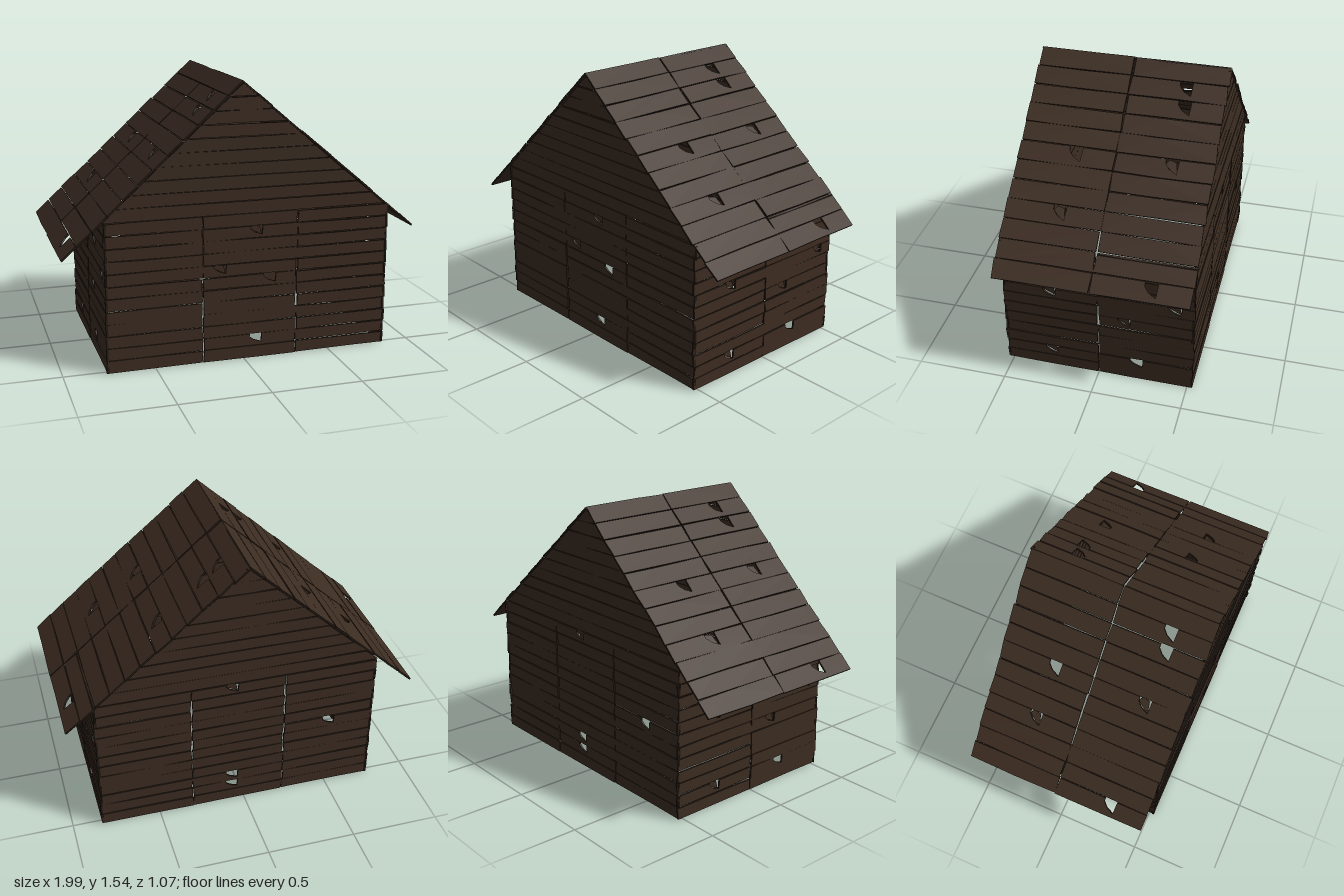
import * as THREE from 'three';

const wood = new THREE.MeshStandardMaterial({ color: 0x3d2d22 });
wood.name = 'weathered wood';
const edgeWood = new THREE.MeshStandardMaterial({ color: 0x251b14 });
edgeWood.name = 'dark plank edge';

const THICK = 0.01;
let seed = 7;
const rand = () => {
  seed = (seed * 16807) % 2147483647;
  return seed / 2147483647;
};
const jitter = (a) => (rand() * 2 - 1) * a;

function slab(name, points, depth) {
  const shape = new THREE.Shape(points.map(([x, y]) => new THREE.Vector2(x, y)));
  const geometry = new THREE.ExtrudeGeometry(shape, { depth, bevelEnabled: false });
  geometry.translate(0, 0, -depth);
  const mesh = new THREE.Mesh(geometry, [wood, edgeWood]);
  mesh.name = name;
  return mesh;
}

// Wall of horizontal planks in its own xy plane, outer face at z = 0.
// span(y) gives the left and right ends; chips are [x, y, open].
function plankPanel(name, { height, count, gap, span, chips = [], ragged = 0.005 }) {
  const panel = new THREE.Group();
  panel.name = name;
  const step = height / count;
  for (let i = 0; i < count; i++) {
    const y0 = i * step + gap * 0.5;
    const y1 = (i + 1) * step - gap * 0.5;
    const [a0, b0] = span(y0);
    const [a1, b1] = span(y1);
    const wave = () => jitter(0.0025);
    const mid = (a0 + b0) / 2;
    const top = [];
    for (const [cx, cy, open] of chips) {
      if (Math.floor(cy / step) !== i) continue;
      // Broken notch in the upper edge of the plank
      const notch = [
        [cx + 0.034, y1], [cx + 0.03, y1 - step * 0.72],
        [cx - 0.012, y1 - step * 0.5], [cx - 0.036, y1 - step * 0.22], [cx - 0.036, y1],
      ];
      top.push(...notch);
      if (!open) {
        // Splinter pushed inwards behind the notch
        const shard = slab('splinter', [
          [cx - 0.04, y1 - step * 0.25], [cx + 0.032, y1 - step * 0.78],
          [cx + 0.02, y1 - step * 0.1], [cx - 0.02, y1],
        ], 0.004);
        shard.position.z = -THICK - 0.004;
        panel.add(shard);
      }
    }
    if (!top.length) top.push([mid + jitter(0.1), y1 + wave()]);
    const plank = slab('plank', [
      [a0 + jitter(ragged), y0 + wave()],
      [mid + jitter(0.1), y0 + wave()],
      [b0 + jitter(ragged), y0 + wave()],
      [b1 + jitter(ragged), y1 + wave()],
      ...top,
      [a1 + jitter(ragged), y1 + wave()],
    ], THICK);
    plank.position.z = jitter(0.003);
    panel.add(plank);
  }
  return panel;
}

// Stand a panel at an origin, given its up direction and outward normal
function place(panel, origin, up, normal) {
  const right = new THREE.Vector3().crossVectors(up, normal);
  panel.quaternion.setFromRotationMatrix(new THREE.Matrix4().makeBasis(right, up, normal));
  panel.position.copy(origin);
  return panel;
}

const V = (x, y, z) => new THREE.Vector3(x, y, z);
const straight = (w) => () => [-w / 2, w / 2];

export function createModel() {
  const shed = new THREE.Group();
  shed.name = 'plankShed';
  const up = V(0, 1, 0);
  const base = 0.008, wallH = 0.825;
  const xMin = -0.77, xMax = 0.84, zOut = 0.53;
  const panelW = (xMax - xMin) / 3;
  const half = 0.267;

  // Front and back walls, three panels each
  const endChips = {
    front: [
      [],
      [[0.035, 0.1, 1], [0.035, 0.71], [-0.17, 0.5], [0.115, 0.42, 1]],
      [],
    ],
    back: [
      [[0, 0.43, 1]],
      [[-0.035, 0.1, 1], [-0.035, 0.18, 1], [-0.035, 0.76]],
      [],
    ],
  };
  const endGaps = { front: [0.003, 0.002, 0.006], back: [0.004, 0.004, 0.004] };
  for (const [side, s] of [['front', 1], ['back', -1]]) {
    for (let i = 0; i < 3; i++) {
      const wall = plankPanel(side + 'Wall', {
        height: wallH, count: 12, gap: endGaps[side][i],
        span: straight(panelW - 0.006), chips: endChips[side][i],
      });
      shed.add(place(wall, V(xMin + panelW * (i + 0.5), base, s * (zOut - 0.003)), up, V(0, 0, s)));
    }
    // Triangular gable of full-width planks
    const peak = 0.7;
    const gable = plankPanel(side + 'Gable', {
      height: peak, count: 10, gap: 0.003, ragged: 0.003,
      span: (y) => {
        const t = 1 - y / peak;
        const l = -0.01 - 0.765 * t, r = -0.01 + 0.825 * t;
        return s > 0 ? [l, r] : [-r, -l];
      },
    });
    shed.add(place(gable, V(0, 0.835, s * (zOut - 0.006)), up, V(0, 0, s)));
  }

  // Side walls, two panels each; the opposite side is turned half round
  const sideChips = [
    [[0, 0.11], [0, 0.51]],
    [[-0.12, 0.41], [0.16, 0.5], [-0.05, 0.13, 1], [-0.05, 0.66]],
  ];
  for (const s of [1, -1]) {
    for (const k of [0, 1]) {
      const z = s * (k ? -half : half);
      const wall = plankPanel(s > 0 ? 'leftSideWall' : 'rightSideWall', {
        height: wallH, count: 12, gap: k ? 0.002 : 0.006,
        span: straight(0.528), chips: sideChips[k],
      });
      shed.add(place(wall, V(s > 0 ? xMax - 0.003 : xMin + 0.003, base, z), up, V(s, 0, 0)));
    }
  }

  // Roof slopes with wide eaves, two panels each
  const roofChips = [
    [[0.05, 0.72, 1], [0.03, 0.38]],
    [[0.04, 1.17, 1], [0.05, 1.07, 1], [0.04, 0.72], [0.05, 0.1, 1]],
  ];
  const ridge = V(-0.015, 1.55, 0);
  for (const s of [1, -1]) {
    const eave = s > 0 ? V(0.995, 0.7, 0) : V(-0.995, 0.655, 0);
    const slope = ridge.clone().sub(eave);
    const length = slope.length();
    slope.normalize();
    const normal = V(s * slope.y, Math.abs(slope.x), 0);
    for (const k of [0, 1]) {
      const roof = plankPanel(s > 0 ? 'leftRoof' : 'rightRoof', {
        height: length, count: 12, gap: 0.004,
        span: straight(0.528), chips: roofChips[k],
      });
      const origin = eave.clone();
      origin.z = s * (k ? -half : half);
      shed.add(place(roof, origin, slope, normal));
    }
  }
  return shed;
}
